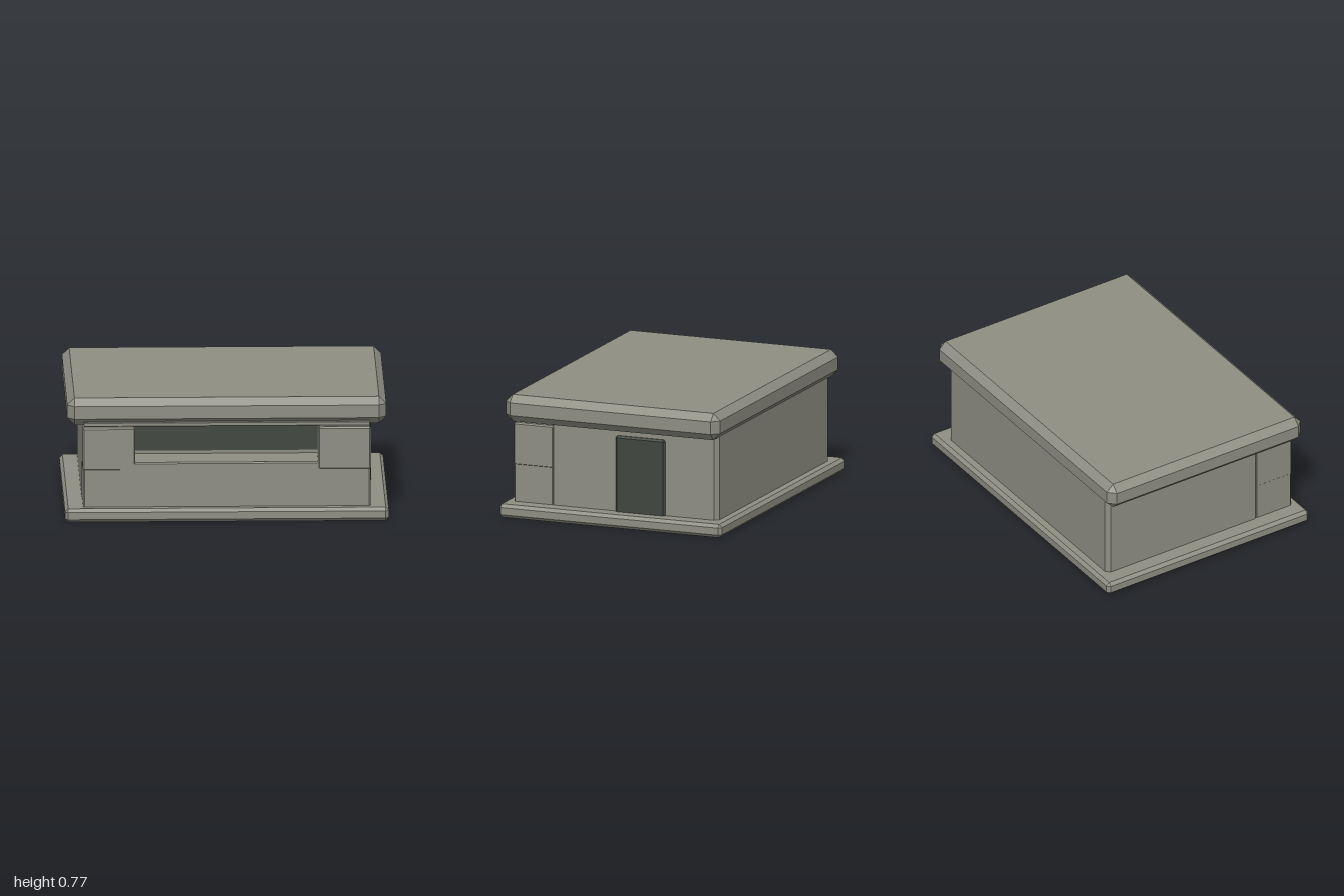
import * as THREE from 'three';
import { ConvexGeometry } from 'three/addons/geometries/ConvexGeometry.js';

const concrete = new THREE.MeshStandardMaterial({ color: 0x8e8e83 });
concrete.name = 'concrete';
const darkSteel = new THREE.MeshStandardMaterial({ color: 0x404640 });
darkSteel.name = 'dark steel';

// Box between two corners with all edges bevelled by c
function bevelBox(x0, x1, y0, y1, z0, z1, c) {
  const half = [(x1 - x0) / 2, (y1 - y0) / 2, (z1 - z0) / 2];
  const points = [];
  for (const sx of [-1, 1]) for (const sy of [-1, 1]) for (const sz of [-1, 1]) {
    for (let axis = 0; axis < 3; axis++) {
      const p = [sx, sy, sz].map((s, i) => s * (half[i] - (i === axis ? 0 : c)));
      points.push(new THREE.Vector3(...p));
    }
  }
  const g = new ConvexGeometry(points);
  g.translate((x0 + x1) / 2, (y0 + y1) / 2, (z0 + z1) / 2);
  return g;
}

export function createModel() {
  const group = new THREE.Group();
  group.name = 'bunker';
  const add = (name, geometry, material = concrete) => {
    const mesh = new THREE.Mesh(geometry, material);
    mesh.name = name;
    group.add(mesh);
  };

  // Foundation, main block and overhanging roof slab
  add('foundation', bevelBox(-1, 1, 0, 0.085, -0.745, 0.745, 0.02));
  add('mainBlock', bevelBox(-0.89, 0.89, 0.05, 0.64, -0.68, 0.443, 0.027));
  add('roofSlab', bevelBox(-0.985, 0.985, 0.605, 0.775, -0.715, 0.715, 0.045));

  // Front wall with a firing slot between two piers
  add('lowerFrontWall', bevelBox(-0.887, 0.887, 0.06, 0.365, 0.42, 0.683, 0.008));
  for (const side of [-1, 1]) {
    const [a, b] = [side * 0.565, side * 0.89].sort((p, q) => p - q);
    add(side > 0 ? 'leftPier' : 'rightPier', bevelBox(a, b, 0.315, 0.585, 0.418, 0.686, 0.009));
  }
  add('lintel', bevelBox(-0.885, 0.885, 0.603, 0.63, 0.68, 0.725, 0.004));

  // Dark opening at the back of the slot
  const slot = new THREE.BoxGeometry(1.13, 0.165, 0.008);
  slot.translate(0, 0.4675, 0.443);
  add('slotOpening', slot, darkSteel);

  // Side door
  add('door', bevelBox(0.86, 0.907, 0.07, 0.565, -0.33, 0, 0.012), darkSteel);
  return group;
}
